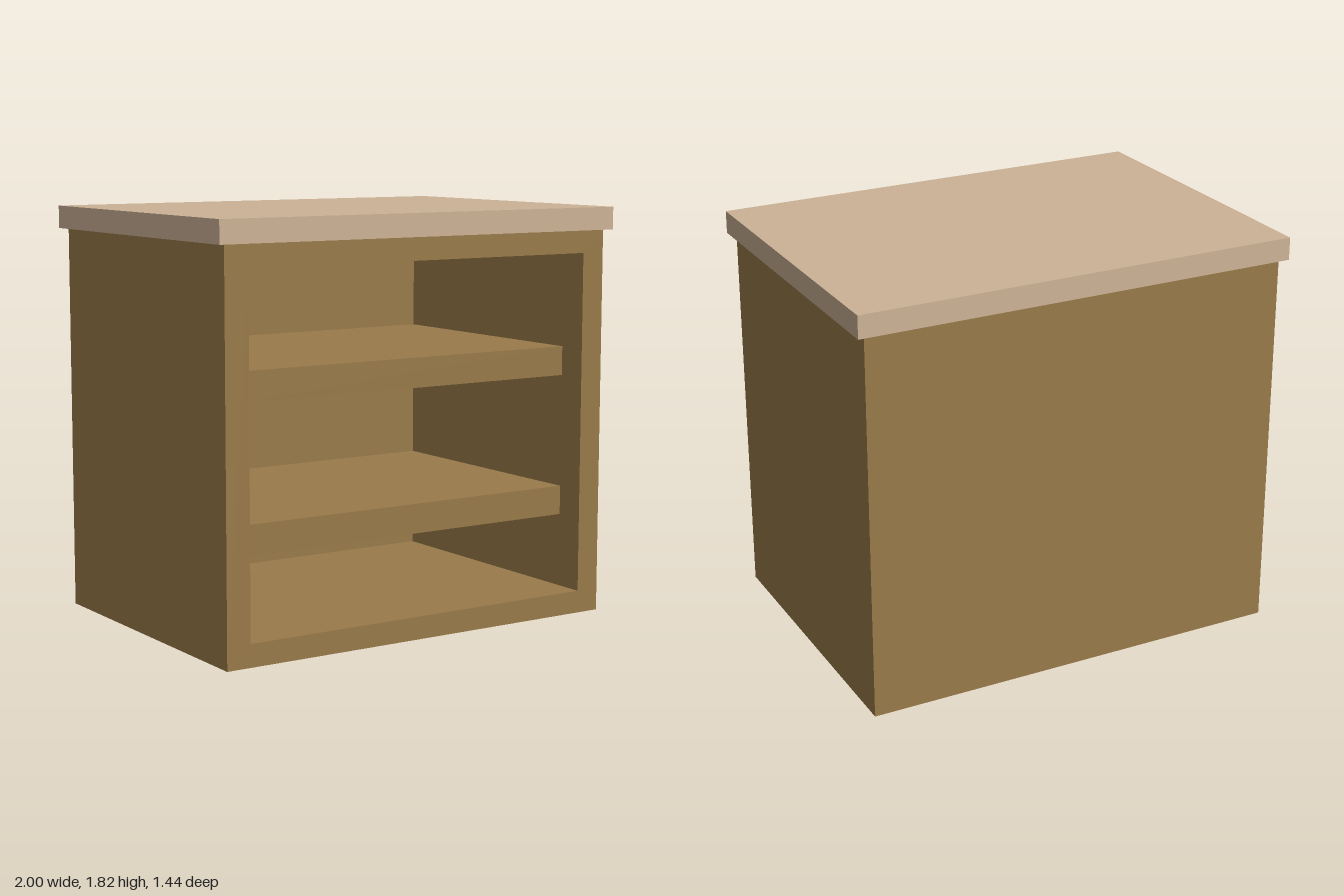
import * as THREE from 'three';

const wood = new THREE.MeshStandardMaterial({ color: 0x997a49 });
const paleWood = new THREE.MeshStandardMaterial({ color: 0xccb296 });

// Outer carcass and the opening cut into its front
const W = 0.965, H = 1.72, D = 0.695;
const IN = { x: 0.855, bottom: 0.1, top: 1.62, back: -0.595 };

function addMesh(parent, name, geometry, material) {
  const mesh = new THREE.Mesh(geometry, material);
  mesh.name = name;
  parent.add(mesh);
}

// Box given by its half width and its limits in y and z
function box(halfX, y0, y1, z0, z1) {
  return new THREE.BoxGeometry(2 * halfX, y1 - y0, z1 - z0)
    .translate(0, (y0 + y1) / 2, (z0 + z1) / 2);
}

// Box without its front face, turned inside out if inward is set
function openBox(geometry, inward) {
  const index = Array.from(geometry.index.array);
  index.splice(24, 6);
  if (inward) index.reverse();
  geometry.setIndex(index);
  geometry.clearGroups();
  geometry.computeVertexNormals();
  return geometry;
}

function rectangle(path, halfX, y0, y1) {
  path.moveTo(-halfX, y0).lineTo(halfX, y0).lineTo(halfX, y1).lineTo(-halfX, y1).closePath();
  return path;
}

export function createModel() {
  const model = new THREE.Group();
  model.name = 'bookcase';

  // Cabinet: outside walls, front rim and hollow inside
  const cabinet = new THREE.Group();
  cabinet.name = 'cabinet';
  model.add(cabinet);
  addMesh(cabinet, 'outerWalls', openBox(box(W, 0, H, -D, D), false), wood);
  addMesh(cabinet, 'innerWalls', openBox(box(IN.x, IN.bottom, IN.top, IN.back, D), true), wood);
  const rim = rectangle(new THREE.Shape(), W, 0, H);
  rim.holes.push(rectangle(new THREE.Path(), IN.x, IN.bottom, IN.top));
  addMesh(cabinet, 'frontRim', new THREE.ShapeGeometry(rim).translate(0, 0, D), wood);

  // Shelves, set back from the front
  [['lowerShelf', 0.43, 0.56], ['upperShelf', 1.065, 1.195]].forEach(([name, y0, y1]) =>
    addMesh(model, name, box(IN.x, y0, y1, IN.back, 0.56), wood));

  // Overhanging top
  addMesh(model, 'top', box(1, H, 1.82, -0.72, 0.72), paleWood);

  return model;
}
